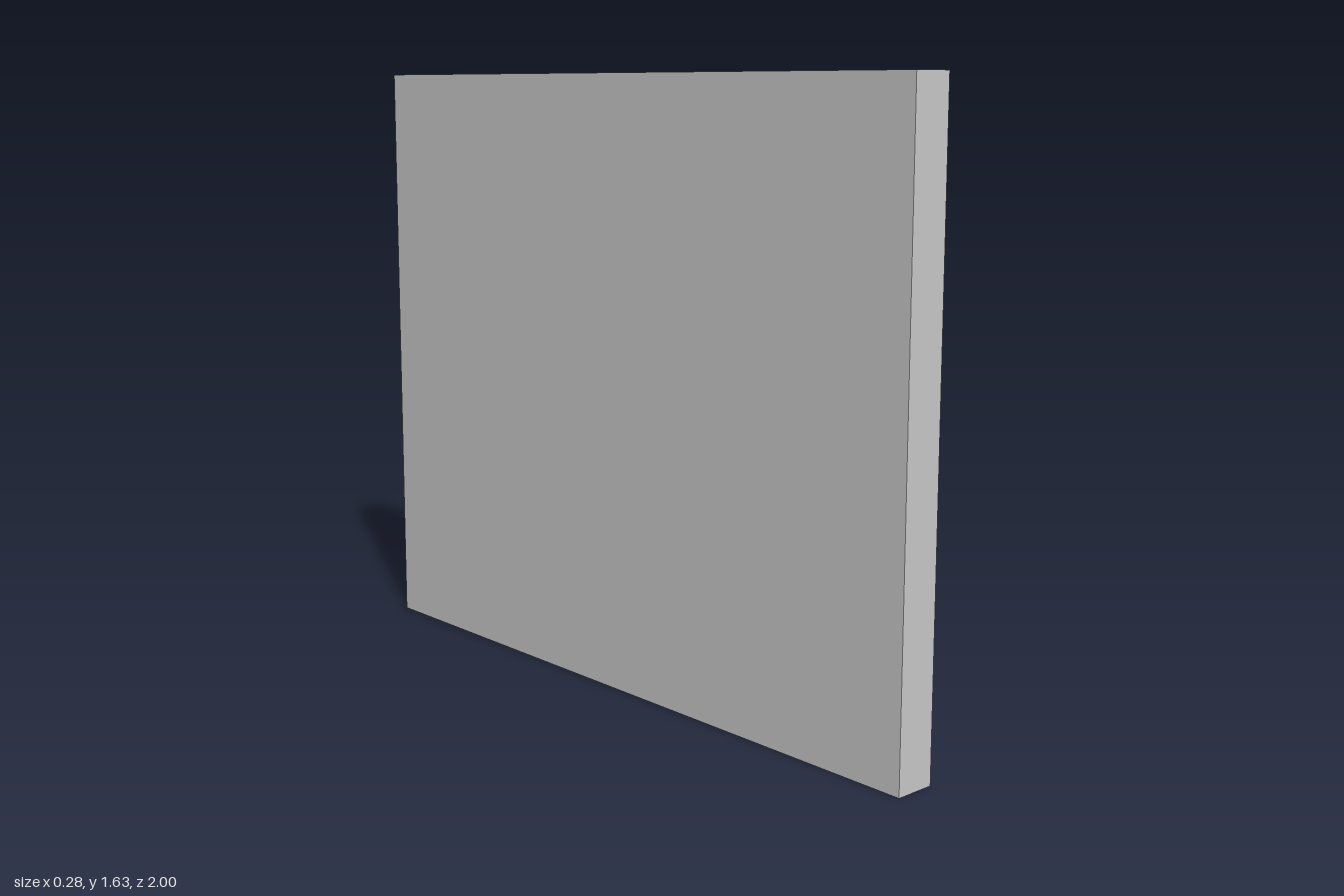
import * as THREE from 'three';

const material = new THREE.MeshStandardMaterial({ color: 0xcccccc, flatShading: true });
const smooth = new THREE.MeshStandardMaterial({ color: 0xcccccc });

function part(name, geometry, mat = material) {
  const mesh = new THREE.Mesh(geometry, mat);
  mesh.name = name;
  return mesh;
}

const outline = (points) => new THREE.Shape(points.map(([a, b]) => new THREE.Vector2(a, b)));

// Prism from a (z, y) outline, reaching back from xFront by depth
function slabPrism(shape, xFront, depth) {
  return new THREE.ExtrudeGeometry(shape, { depth, bevelEnabled: false })
    .rotateY(-Math.PI / 2).translate(xFront, 0, 0);
}

// Prism from an (x, z) outline, centred on height y
function planPrism(shape, y, height) {
  return new THREE.ExtrudeGeometry(shape, { depth: height, bevelEnabled: false })
    .rotateX(Math.PI / 2).translate(0, y + height / 2, 0);
}

const HEIGHT = 1.635, FACE = -0.03, RECESS = 0.045, BACK = -0.14;

function createDoor() {
  const door = new THREE.Group();
  door.name = 'door';
  const panelDepth = FACE - RECESS - BACK;
  door.add(part('backPanel', new THREE.BoxGeometry(panelDepth, HEIGHT, 2)
    .translate(BACK + panelDepth / 2, HEIGHT / 2, 0)));

  // Raised frame with two openings on each side of the centre post
  const frame = outline([[-1, 0], [1, 0], [1, HEIGHT], [-1, HEIGHT]]);
  for (const s of [-1, 1]) {
    const upper = [[0.1, 0.73], [0.77, 0.73], [0.77, 1.535], [0.415, 1.535], [0.1, 1.22]];
    const lower = [[0.1, 0.108], [0.77, 0.108], [0.77, 0.557], [0.1, 0.557]];
    for (const hole of [upper, lower]) frame.holes.push(outline(hole.map(([z, y]) => [s * z, y])));
  }
  door.add(part('frame', slabPrism(frame, FACE, RECESS)));
  return door;
}

// Centre strip of tiles, each split by an interlocking tab and socket
function createSeam() {
  const seam = new THREE.Group();
  seam.name = 'centreSeam';
  const pitch = 0.1805, h = 0.0865, g = 0.005;
  const tab = [[0.1, h], [g, h], [g, 0.047], [-0.052, 0.03], [-0.052, -0.03], [g, -0.047], [g, -h], [0.1, -h]];
  const socket = [[-0.1, h], [-g, h], [-g, 0.055], [-0.062, 0.038], [-0.062, -0.038], [-g, -0.055], [-g, -h], [-0.1, -h]];
  for (let i = 0; i < 9; i++) {
    const s = i % 2 ? -1 : 1;
    const y = HEIGHT - h - i * pitch;
    for (const [name, points] of [['tabTile', tab], ['socketTile', socket]]) {
      const shape = outline(points.map(([z, v]) => [s * z, y + v]));
      seam.add(part(name, slabPrism(shape, -0.011, 0.019)));
    }
  }
  return seam;
}

// Latch built around y = 0, open towards +z
function createLatch() {
  const latch = new THREE.Group();
  latch.name = 'latch';

  // Slanted cover with a raised strap across its middle
  const cover = outline([[0.05, 0.735], [0.073, 0.735], [0.125, 0.84], [0.117, 0.84], [0.068, 0.743], [0.05, 0.743]]);
  latch.add(part('cover', planPrism(cover, 0, 0.165)));
  const strap = outline([[0.05, 0.725], [0.08, 0.725], [0.135, 0.84], [0.122, 0.84], [0.07, 0.737], [0.05, 0.737]]);
  latch.add(part('strap', planPrism(strap, 0, 0.05)));

  // Upper and lower cheeks, arms and pin ends
  const cheek = outline([[-0.035, 0.735], [0.073, 0.735], [0.125, 0.84], [-0.035, 0.84]]);
  for (const s of [-1, 1]) {
    latch.add(part('cheek', planPrism(cheek, s * 0.079, 0.008)));
    latch.add(part('arm', new THREE.BoxGeometry(0.024, 0.006, 0.12).translate(0.003, s * 0.085, 0.772)));
    latch.add(part('pinCollar', new THREE.CylinderGeometry(0.024, 0.024, 0.012, 20)
      .translate(0.003, s * 0.088, 0.717)));
    latch.add(part('pinHead', new THREE.CylinderGeometry(0.015, 0.015, 0.012, 20)
      .translate(0.003, s * 0.098, 0.717)));
  }
  latch.add(part('pin', new THREE.CylinderGeometry(0.012, 0.012, 0.18, 16).translate(0.003, 0, 0.717), smooth));
  latch.add(part('barrel', new THREE.CylinderGeometry(0.036, 0.036, 0.125, 28).translate(0.003, 0, 0.717), smooth));
  return latch;
}

export function createModel() {
  const model = new THREE.Group();
  model.name = 'doublePanelDoor';
  model.add(createDoor(), createSeam());
  for (const turn of [0, Math.PI]) {
    const latch = createLatch();
    latch.position.y = 0.645;
    latch.rotation.x = turn;
    model.add(latch);
  }
  return model;
}
